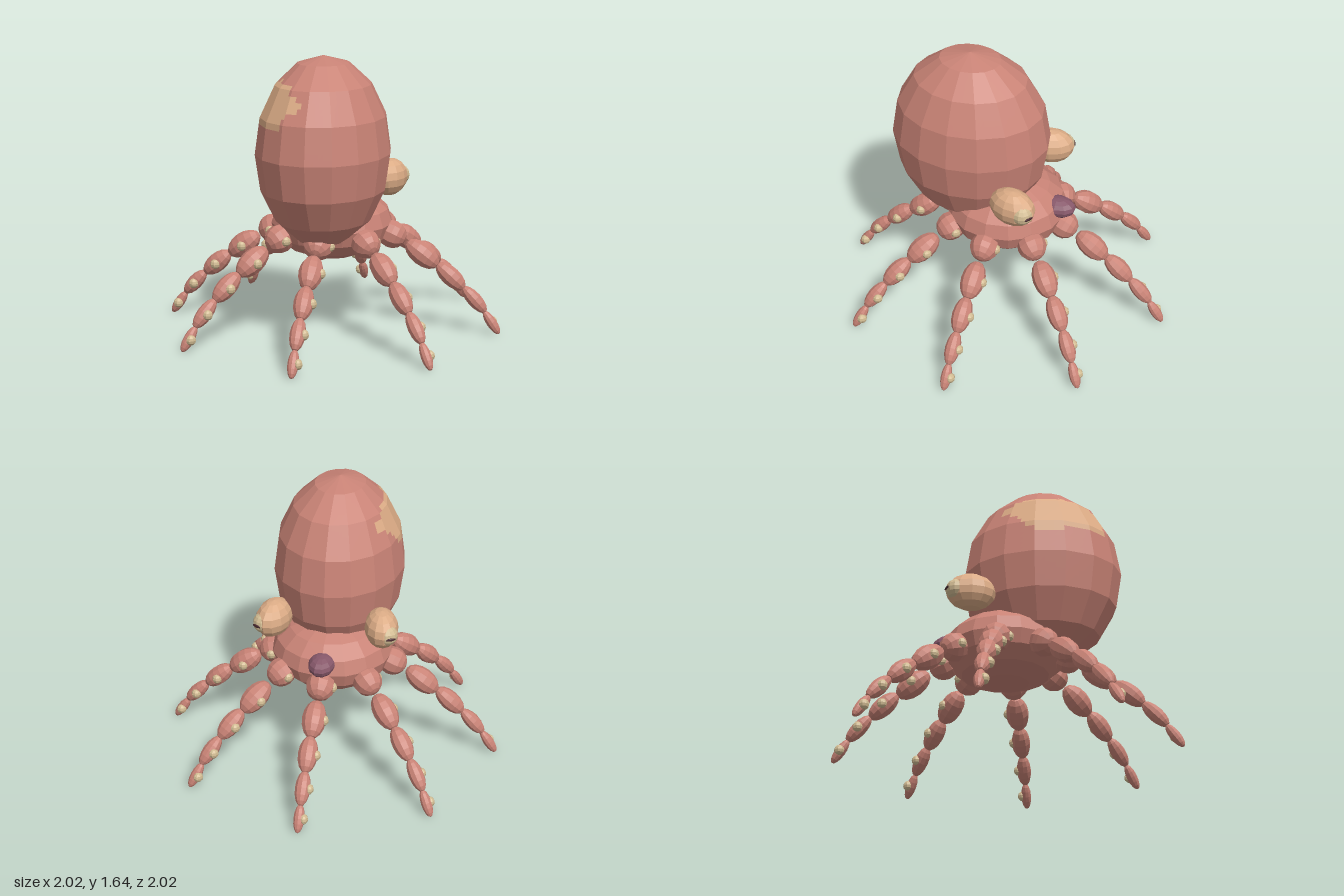
import * as THREE from 'three';

const material = (name, color) => {
  const m = new THREE.MeshStandardMaterial({ color, flatShading: true });
  m.name = name;
  return m;
};

export function createModel() {
  const skin = material('terracotta skin', 0xc98376);
  const tan = material('tan', 0xdcac86);
  const sand = material('pale sand', 0xd2bc93);
  const plum = material('plum', 0x87586a);
  const dark = material('dark pupil', 0x4a2a30);

  const model = new THREE.Group();
  model.name = 'octopus';

  // Low-poly ellipsoid helper
  const ellipsoid = (parent, name, mat, pos, radii, ws = 12, hs = 8) => {
    const mesh = new THREE.Mesh(new THREE.SphereGeometry(1, ws, hs), mat);
    mesh.name = name;
    mesh.position.set(...pos);
    mesh.scale.set(...radii);
    parent.add(mesh);
    return mesh;
  };

  // Mantle: a faceted ellipsoid whose facets are split so a patch can be coloured
  const SEG = 16, ROWS = 8, SUB = 6;
  const centre = new THREE.Vector3(0, 1.09, 0.22);
  const corner = (i, j) => {
    const a = (i / SEG) * Math.PI * 2, t = (j / ROWS) * Math.PI;
    return new THREE.Vector3(
      -0.385 * Math.sin(t) * Math.sin(a), 0.55 * Math.cos(t), 0.47 * Math.sin(t) * Math.cos(a)
    ).add(centre);
  };
  const onFacet = (i, j, u, v) => {
    const top = corner(i, j).lerp(corner(i + 1, j), u);
    return top.lerp(corner(i, j + 1).lerp(corner(i + 1, j + 1), u), v);
  };
  // Patch outline: azimuth in degrees, lower and upper height
  const outline = [
    [7, 1.39, 1.41], [14, 1.36, 1.43], [25, 1.34, 1.45], [27, 1.28, 1.49], [40, 1.26, 1.5],
    [60, 1.25, 1.51], [90, 1.24, 1.49], [100, 1.3, 1.5], [110, 1.37, 1.47], [122, 1.4, 1.44],
  ];
  const inPatch = (deg, y) => {
    for (let k = 0; k < outline.length - 1; k++) {
      const [a, lo, hi] = outline[k], [b, lo2, hi2] = outline[k + 1];
      if (deg < a || deg > b) continue;
      const f = (deg - a) / (b - a);
      return y > lo + (lo2 - lo) * f && y < hi + (hi2 - hi) * f;
    }
    return false;
  };
  const plain = [], spotted = [];
  for (let i = 0; i < SEG; i++) for (let j = 0; j < ROWS; j++)
    for (let p = 0; p < SUB; p++) for (let q = 0; q < SUB; q++) {
      const at = (du, dv) => onFacet(i, j, (p + du) / SUB, (q + dv) / SUB);
      const a = at(0, 0), b = at(1, 0), c = at(1, 1), d = at(0, 1);
      const deg = ((i + (p + 0.5) / SUB) / SEG) * 360;
      const out = inPatch(deg, at(0.5, 0.5).y) ? spotted : plain;
      for (const v of [a, b, c, a, c, d]) out.push(v.x, v.y, v.z);
    }
  const addSurface = (name, points, mat) => {
    const geo = new THREE.BufferGeometry();
    geo.setAttribute('position', new THREE.Float32BufferAttribute(points, 3));
    geo.computeVertexNormals();
    const mesh = new THREE.Mesh(geo, mat);
    mesh.name = name;
    model.add(mesh);
  };
  addSurface('mantle', plain, skin);
  addSurface('mantlePatch', spotted, tan);

  // Body under the mantle and the siphon at its back
  ellipsoid(model, 'body', skin, [0, 0.635, 0], [0.36, 0.215, 0.36], 16, 8);
  ellipsoid(model, 'siphon', plum, [0, 0.695, -0.32], [0.078, 0.06, 0.11], 10, 8);

  // Eyes, turned outward, each with iris and slit pupil
  for (const s of [1, -1]) {
    const eye = new THREE.Group();
    eye.name = s > 0 ? 'leftEye' : 'rightEye';
    eye.position.set(s * 0.315, 0.88, -0.155);
    model.add(eye);
    const ball = ellipsoid(eye, 'eyeball', tan, [0, 0, 0], [0.098, 0.11, 0.145]);
    ball.rotation.y = -s * 0.25;
    const iris = ellipsoid(eye, 'iris', sand, [s * 0.045, 0, -0.075], [0.062, 0.062, 0.062], 12, 8);
    iris.rotation.y = -s * 0.52;
    const pupil = ellipsoid(eye, 'pupil', dark, [s * 0.075, 0, -0.127], [0.03, 0.009, 0.006], 8, 6);
    pupil.rotation.y = -s * 0.52;
  }

  // Arm beads: distance out, height, half length, half width, downward slope
  const beads = [
    [0.36, 0.57, 0.088, 0.085, 0.4],
    [0.54, 0.46, 0.115, 0.07, 0.63],
    [0.71, 0.335, 0.108, 0.057, 0.72],
    [0.852, 0.203, 0.1, 0.044, 0.82],
    [0.955, 0.07, 0.082, 0.031, 0.97],
  ];
  for (let k = 0; k < 8; k++) {
    const arm = new THREE.Group();
    arm.name = 'arm' + (k + 1);
    arm.rotation.y = (k * Math.PI) / 4;
    model.add(arm);
    beads.forEach(([r, y, len, w, slope], n) => {
      const bead = ellipsoid(arm, 'armBead' + (n + 1), skin, [r, y, 0], [w, len, w], 10, 8);
      bead.rotation.z = Math.PI / 2 - slope;
      bead.rotation.z = -Math.PI / 2 - slope;
      // Sucker on one flank of the bead
      ellipsoid(arm, 'sucker' + (n + 1), sand, [r, y, -w * 0.85], [0.03, 0.03, 0.026], 8, 6);
    });
  }
  return model;
}
